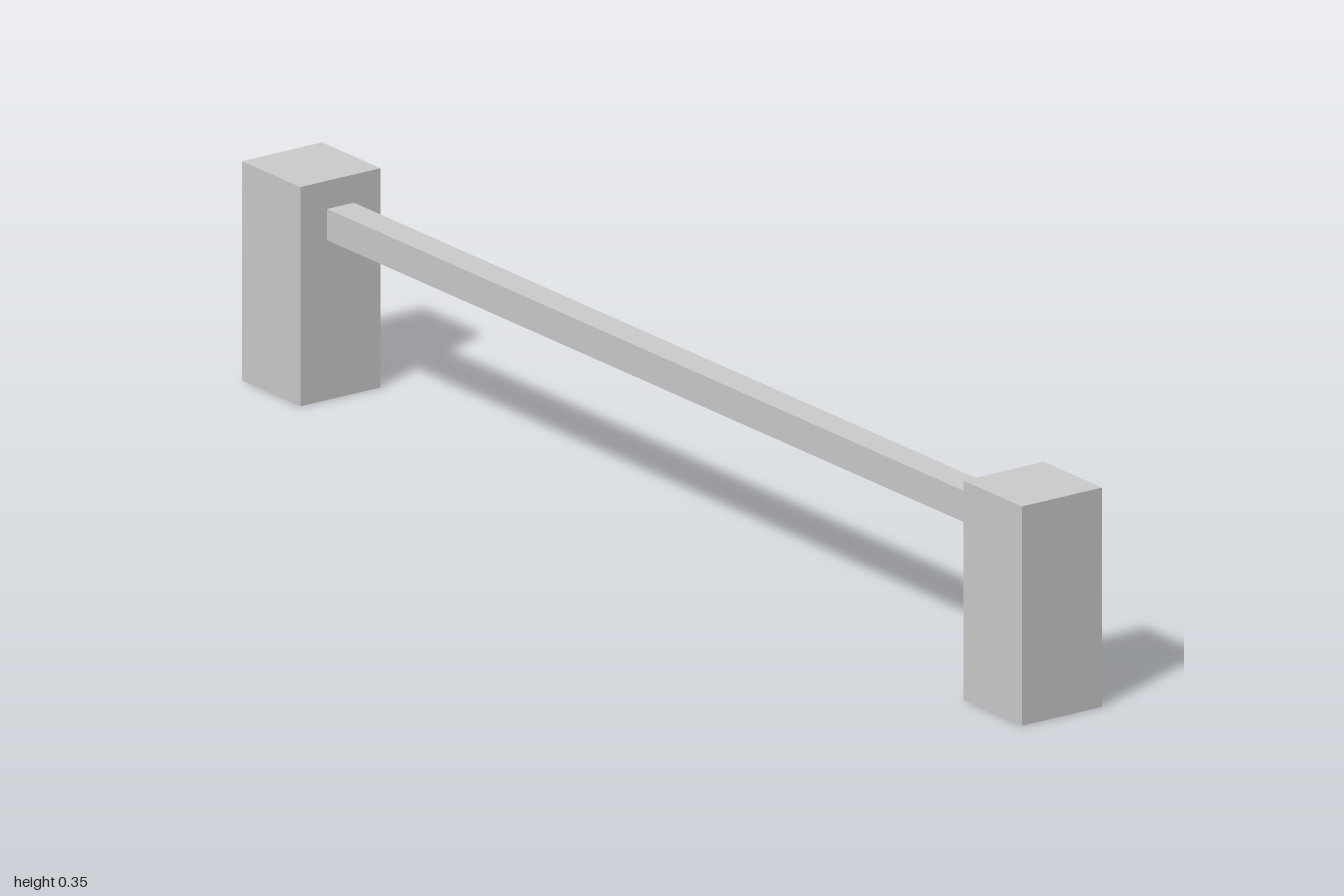
import * as THREE from 'three';

export function createModel() {
  const group = new THREE.Group();
  const material = new THREE.MeshStandardMaterial({ color: 0xcccccc, flatShading: true });

  const addBox = (name, size, y, z) => {
    const mesh = new THREE.Mesh(new THREE.BoxGeometry(...size), material);
    mesh.name = name;
    mesh.position.set(0, y, z);
    group.add(mesh);
  };

  // End posts
  const postWidth = 0.15, postHeight = 0.35;
  const postZ = 1 - postWidth / 2;
  addBox('frontPost', [postWidth, postHeight, postWidth], postHeight / 2, postZ);
  addBox('backPost', [postWidth, postHeight, postWidth], postHeight / 2, -postZ);

  // Rail spanning between the inner faces of the posts
  addBox('rail', [0.05, 0.05, 2 - 2 * postWidth], 0.28, 0);

  return group;
}
